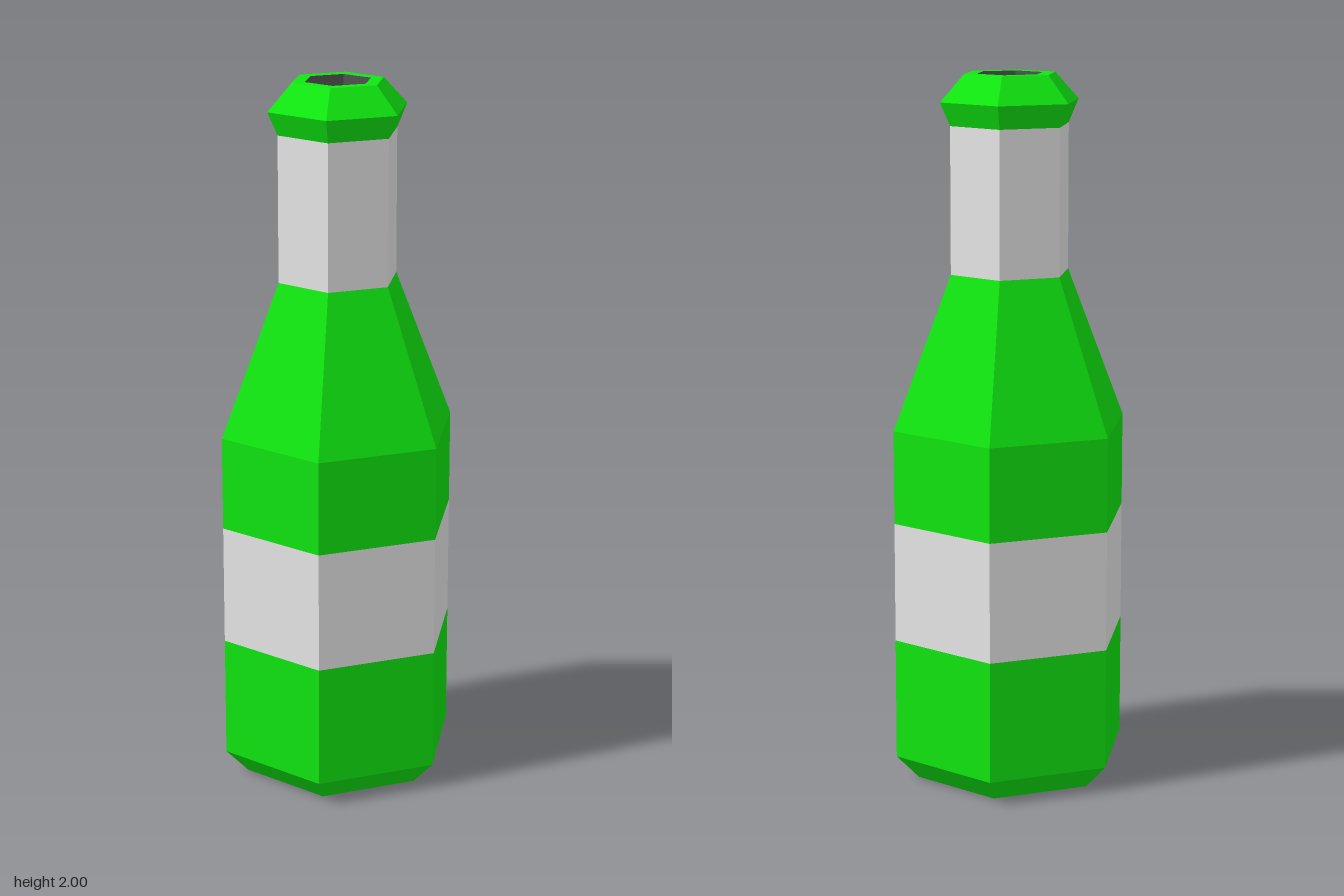
import * as THREE from 'three';

const material = (name, color) => {
  const m = new THREE.MeshStandardMaterial({ color, flatShading: true });
  m.name = name;
  return m;
};

export function createModel() {
  const green = material('greenGlass', 0x10e710);
  const paper = material('paleLabel', 0xe7e7e7);
  const dark = material('darkInside', 0x535353);

  const bottle = new THREE.Group();
  bottle.name = 'bottle';

  // Six-sided ring turned from [radius, height] points, with corners on the z axis
  const addPart = (name, mat, profile) => {
    const points = profile.map(([r, y]) => new THREE.Vector2(r, y));
    const mesh = new THREE.Mesh(new THREE.LatheGeometry(points, 6), mat);
    mesh.name = name;
    bottle.add(mesh);
  };

  const body = 0.346, neck = 0.175, mouth = 0.096;

  // Closed base with bevelled foot, and lower body
  addPart('lowerBody', green, [[0, 0], [0.28, 0], [body, 0.07], [body, 0.415]]);
  addPart('bodyLabel', paper, [[body, 0.415], [body, 0.755]]);
  addPart('shoulder', green, [[body, 0.755], [body, 1.02], [neck, 1.45]]);
  addPart('neckLabel', paper, [[neck, 1.45], [neck, 1.86]]);
  // Flared lip with a flat rim
  addPart('lip', green, [[neck, 1.86], [0.204, 1.925], [0.134, 2], [mouth, 2]]);
  // Recessed opening, facing inward
  addPart('mouthOpening', dark, [[mouth, 2], [mouth, 1.87], [0, 1.87]]);

  return bottle;
}
